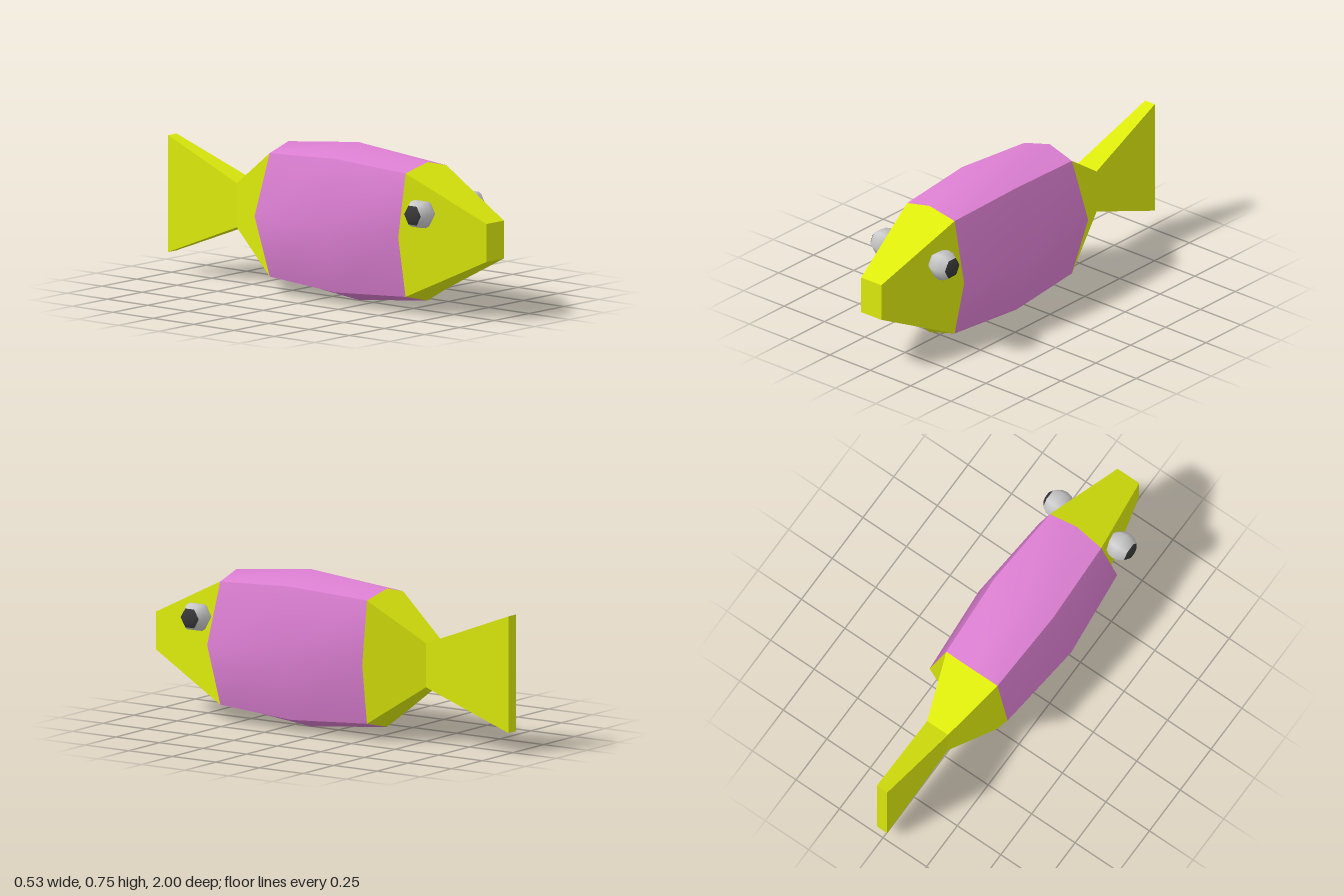
import * as THREE from 'three';

const YELLOW = 0xdcea0c, PINK = 0xdc7fd2;
const mat = (color) => new THREE.MeshStandardMaterial({ color });
const V = (x, y, z) => new THREE.Vector3(x, y, z);
const CY = 0.377; // height of the body axis

// Flat-shaded mesh from polygons; each polygon gets one shared normal
function polygonMesh(name, polygons, color) {
  const pos = [], nor = [];
  for (const p of polygons) {
    const n = V(0, 0, 0);
    p.forEach((a, i) => n.add(a.clone().cross(p[(i + 1) % p.length])));
    n.normalize();
    for (let i = 1; i < p.length - 1; i++) {
      for (const v of [p[0], p[i], p[i + 1]]) {
        pos.push(...v);
        nor.push(...n);
      }
    }
  }
  const g = new THREE.BufferGeometry();
  g.setAttribute('position', new THREE.Float32BufferAttribute(pos, 3));
  g.setAttribute('normal', new THREE.Float32BufferAttribute(nor, 3));
  const mesh = new THREE.Mesh(g, mat(color));
  mesh.name = name;
  return mesh;
}

// Eight-point body ring: corners with a bulged point between each pair
function bodyRing(cx, cy, topY, leftX, rightX, zCorner, zTop, zSide) {
  return [
    V(cx, CY + cy, zCorner), V(0, CY + topY, zTop), V(-cx, CY + cy, zCorner), V(-rightX, CY, zSide),
    V(-cx, CY - cy, zCorner), V(0, CY - topY, zTop), V(cx, CY - cy, zCorner), V(leftX, CY, zSide),
  ];
}

// Four-point rectangular section
const rect = (x, y0, y1, z) => [V(x, y1, z), V(-x, y1, z), V(-x, y0, z), V(x, y0, z)];

// One smooth body panel: a 3 x 3 grid of points across three rings
function bodyPanel(name, rings, k) {
  const pos = [], index = [];
  for (const r of rings) for (let i = 0; i < 3; i++) pos.push(...r[(2 * k + i) % 8]);
  for (let j = 0; j < 2; j++) {
    for (let i = 0; i < 2; i++) {
      const a = j * 3 + i, b = a + 1, d = a + 3, c = a + 4;
      index.push(a, d, c, a, c, b);
    }
  }
  const g = new THREE.BufferGeometry();
  g.setAttribute('position', new THREE.Float32BufferAttribute(pos, 3));
  g.setIndex(index);
  g.computeVertexNormals();
  const mesh = new THREE.Mesh(g, mat(PINK));
  mesh.name = name;
  return mesh;
}

// Six-sided eyeball with a dark outer cap, built along +y
function eye(name, side) {
  const R = 0.073;
  const at = (deg) => {
    const a = THREE.MathUtils.degToRad(deg);
    return new THREE.Vector2(R * Math.sin(a), R * Math.cos(a));
  };
  const end = at(25).y;
  const part = (partName, points, color) => {
    const m = new THREE.Mesh(new THREE.LatheGeometry(points, 6), mat(color));
    m.name = partName;
    return m;
  };
  const group = new THREE.Group();
  group.name = name;
  group.add(
    part('eyeball', [new THREE.Vector2(0, -end), ...[155, 135, 112, 90, 68, 45].map(at)], 0xcccccc),
    part('pupil', [at(45), at(25), new THREE.Vector2(0, end)], 0x383838),
  );
  group.rotation.z = -side * Math.PI / 2;
  group.position.set(side * 0.18, 0.495, 0.688);
  return group;
}

export function createModel() {
  const model = new THREE.Group();
  model.name = 'fish';
  const fish = new THREE.Group();
  fish.name = 'fishParts';
  fish.position.x = 0.006;
  model.add(fish);

  const front = bodyRing(0.147, 0.294, 0.33, 0.224, 0.224, 0.572, 0.582, 0.593);
  const middle = bodyRing(0.169, 0.318, 0.376, 0.259, 0.271, 0.153, 0.153, 0.153);
  const back = bodyRing(0.147, 0.294, 0.33, 0.224, 0.224, -0.27, -0.281, -0.297);
  const snout = rect(0.0625, 0.287, 0.468, 1);
  const tailRoot = rect(0.06, 0.274, 0.484, -0.548);
  const tailTip = rect(0.03, 0.1, 0.657, -1);

  // Body panels
  ['bodyTop', 'bodyRight', 'bodyBottom', 'bodyLeft'].forEach((name, k) =>
    fish.add(bodyPanel(name, [front, middle, back], k)));

  // Head, tail base and tail fin, one polygon per side
  const head = [snout], tailBase = [], tailFin = [[...tailTip].reverse()];
  for (let k = 0; k < 4; k++) {
    const n = (k + 1) % 4, c = 2 * k, e = (2 * k + 2) % 8;
    head.push([front[c], front[c + 1], front[e], snout[n], snout[k]]);
    tailBase.push([back[e], back[c + 1], back[c], tailRoot[k], tailRoot[n]]);
    tailFin.push([tailRoot[n], tailRoot[k], tailTip[k], tailTip[n]]);
  }
  fish.add(
    polygonMesh('head', head, YELLOW),
    polygonMesh('tailBase', tailBase, YELLOW),
    polygonMesh('tailFin', tailFin, YELLOW),
  );

  // Eyes
  fish.add(eye('leftEye', 1), eye('rightEye', -1));
  return model;
}
